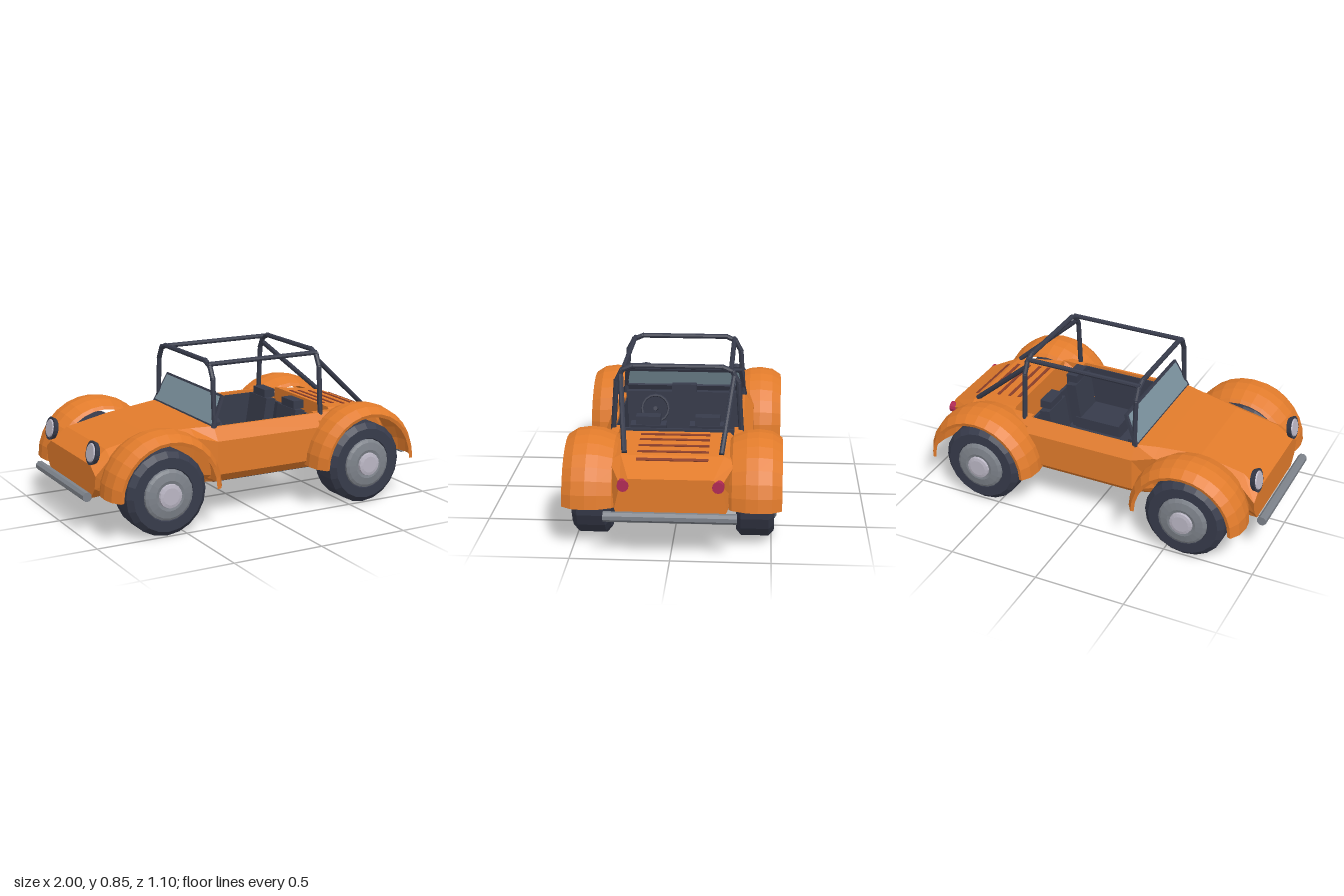
import * as THREE from 'three';

const mat = (name, color) => {
  const m = new THREE.MeshStandardMaterial({ color, flatShading: true, side: THREE.DoubleSide });
  m.name = name;
  return m;
};

export function createModel() {
  const paint = mat('orange paint', 0xe17b2b);
  const dark = mat('dark trim', 0x373b4b);
  const glass = mat('glass', 0x7c939f);
  const steel = mat('grey steel', 0x7d828a);
  const chrome = mat('pale chrome', 0xbab6c4);
  const red = mat('tail red', 0xb02a54);
  const slot = mat('vent brown', 0x8c3f2a);

  const car = new THREE.Group();
  car.name = 'openBuggy';

  const add = (name, geo, material, x = 0, y = 0, z = 0, parent = car) => {
    const mesh = new THREE.Mesh(geo, material);
    mesh.name = name;
    mesh.position.set(x, y, z);
    parent.add(mesh);
    return mesh;
  };
  // Box given by its min and max corners
  const box = (name, material, x0, x1, y0, y1, z0, z1) =>
    add(name, new THREE.BoxGeometry(x1 - x0, y1 - y0, z1 - z0), material,
      (x0 + x1) / 2, (y0 + y1) / 2, (z0 + z1) / 2);
  // Straight round bar between two points
  const bar = (name, a, b, r) => {
    const p = new THREE.Vector3(...a), q = new THREE.Vector3(...b);
    const d = q.clone().sub(p);
    const mesh = add(name, new THREE.CylinderGeometry(r, r, d.length() + r, 8), dark);
    mesh.position.copy(p).add(q).multiplyScalar(0.5);
    mesh.quaternion.setFromUnitVectors(new THREE.Vector3(0, 1, 0), d.normalize());
    return mesh;
  };
  // Closed loft along x through rings of [z, y] points
  const loft = (sections) => {
    const n = sections[0].ring.length, pos = [], idx = [];
    sections.forEach(s => s.ring.forEach(([z, y]) => pos.push(s.x, y, z)));
    for (let i = 0; i < sections.length - 1; i++) {
      for (let j = 0; j < n; j++) {
        const a = i * n + j, b = i * n + (j + 1) % n;
        idx.push(a, a + n, b, b, a + n, b + n);
      }
    }
    const end = (sections.length - 1) * n;
    for (let j = 1; j < n - 1; j++) idx.push(0, j, j + 1, end, end + j + 1, end + j);
    const g = new THREE.BufferGeometry();
    g.setAttribute('position', new THREE.Float32BufferAttribute(pos, 3));
    g.setIndex(idx);
    const flat = g.toNonIndexed();
    flat.computeVertexNormals();
    return flat;
  };
  const mirrored = (x, half) => ({ x, ring: [...half, ...half.map(([z, y]) => [-z, y]).reverse()] });

  // Nose and bonnet
  add('frontBody', loft([
    mirrored(-0.93, [[0.27, 0.19], [0.32, 0.25], [0.335, 0.32], [0.27, 0.365]]),
    mirrored(-0.84, [[0.28, 0.2], [0.30, 0.26], [0.32, 0.40], [0.26, 0.435]]),
    mirrored(-0.60, [[0.28, 0.2], [0.30, 0.26], [0.32, 0.45], [0.26, 0.485]]),
    mirrored(-0.38, [[0.30, 0.2], [0.33, 0.25], [0.37, 0.46], [0.31, 0.499]]),
    mirrored(-0.26, [[0.34, 0.2], [0.395, 0.25], [0.395, 0.43], [0.345, 0.503]]),
  ]), paint);

  // Rear deck and tail
  add('rearBody', loft([
    mirrored(0.49, [[0.30, 0.2], [0.31, 0.26], [0.33, 0.46], [0.28, 0.505]]),
    mirrored(0.77, [[0.28, 0.19], [0.30, 0.26], [0.32, 0.44], [0.26, 0.47]]),
    mirrored(0.93, [[0.25, 0.185], [0.28, 0.24], [0.25, 0.37], [0.21, 0.40]]),
  ]), paint);

  // Vent slots following the deck slope
  [0.53, 0.59, 0.66, 0.73, 0.8].forEach(x => {
    const slope = x < 0.77 ? -0.125 : -0.4375;
    const y = 0.47 + (x - 0.77) * slope;
    add('ventSlot', new THREE.BoxGeometry(0.018, 0.006, 0.36), slot, x, y + 0.001, 0)
      .rotation.z = Math.atan(slope);
  });

  // Cockpit tub
  box('floor', dark, -0.26, 0.37, 0.195, 0.215, -0.335, 0.335);
  box('rearBulkhead', dark, 0.355, 0.372, 0.2, 0.48, -0.33, 0.33);
  box('dashboard', dark, -0.262, -0.21, 0.38, 0.515, -0.33, 0.33);
  box('firewall', dark, -0.262, -0.25, 0.2, 0.4, -0.33, 0.33);
  box('tunnel', dark, -0.08, 0.36, 0.21, 0.26, -0.02, 0.02);
  box('instrumentPod', dark, -0.245, -0.2, 0.5, 0.56, -0.07, 0.07);

  // Steering wheel and column
  const wheelRim = add('steeringWheel', new THREE.TorusGeometry(0.075, 0.008, 6, 16), dark, -0.14, 0.435, 0.16);
  wheelRim.rotation.set(0, Math.PI / 2, 0.3, 'ZYX');
  bar('steeringColumn', [-0.22, 0.41, 0.16], [-0.14, 0.435, 0.16], 0.012);

  for (const s of [1, -1]) {
    const sideRing = [[0.33, 0.2], [0.345, 0.2], [0.395, 0.25], [0.395, 0.43], [0.345, 0.497], [0.33, 0.497]];
    const railRing = [[0.3, 0.4], [0.37, 0.4], [0.37, 0.46], [0.34, 0.497], [0.3, 0.497]];
    const flip = ring => s > 0 ? ring : ring.map(([z, y]) => [-z, y]).reverse();
    // Side sill panel, its liner and the short rail behind the door opening
    add('sidePanel', loft([{ x: -0.262, ring: flip(sideRing) }, { x: 0.372, ring: flip(sideRing) }]), paint);
    add('rearRail', loft([{ x: 0.37, ring: flip(railRing) }, { x: 0.52, ring: flip(railRing) }]), paint);
    box('sideLiner', dark, -0.26, 0.37, 0.21, 0.48, s * 0.328 - 0.004, s * 0.328 + 0.004);

    // Seat
    const z = s * 0.157;
    box('seatCushion', dark, 0.03, 0.3, 0.21, 0.3, z - 0.1, z + 0.1);
    add('seatBack', new THREE.BoxGeometry(0.06, 0.26, 0.19), dark, 0.31, 0.37, z).rotation.z = -0.15;
    box('headrest', dark, 0.305, 0.37, 0.5, 0.545, z - 0.065, z + 0.065);
    box('headrestPost', dark, 0.33, 0.345, 0.46, 0.51, z - 0.02, z + 0.02);

    // Roll cage rails and rear stays
    bar('cageRail', [-0.25, 0.82, s * 0.28], [0.405, 0.82, s * 0.28], 0.013);
    bar('rearStay', [0.41, 0.78, s * 0.295], [0.75, 0.48, s * 0.245], 0.014);

    // Lamps
    const lamp = add('headlampShell', new THREE.CylinderGeometry(0.064, 0.055, 0.026, 16), dark, -0.916, 0.43, s * 0.28);
    lamp.rotation.z = 1.37;
    add('headlampLens', new THREE.CylinderGeometry(0.046, 0.052, 0.008, 16), chrome, 0, 0.015, 0, lamp);
    add('tailLamp', new THREE.CylinderGeometry(0.03, 0.03, 0.05, 12), red, 0.915, 0.365, s * 0.235)
      .rotation.z = Math.PI / 2;

    // Bumpers
    add(s > 0 ? 'rearBumper' : 'frontBumper', new THREE.CylinderGeometry(0.026, 0.026, 0.66, 8).rotateY(Math.PI / 8),
      steel, s * 0.975, 0.218, 0).rotation.x = Math.PI / 2;
  }

  // Roll cage hoops
  const hoopHalf = [[0.338, 0.46], [0.318, 0.75], [0.287, 0.81], [0.235, 0.832]];
  const hoop = [...hoopHalf, ...hoopHalf.map(([z, y]) => [-z, y]).reverse()];
  [-0.25, 0.405].forEach(x => {
    for (let i = 0; i < hoop.length - 1; i++) {
      bar('rollHoop', [x, hoop[i][1], hoop[i][0]], [x, hoop[i + 1][1], hoop[i + 1][0]], 0.014);
    }
  });

  // Raked windscreen: frame with opening, glass plate on its front face
  const trapezoid = (T, w0, y0, w1, y1) => {
    const t = new T();
    t.moveTo(-w0, y0); t.lineTo(w0, y0); t.lineTo(w1, y1); t.lineTo(-w1, y1); t.closePath();
    return t;
  };
  const screen = new THREE.Group();
  screen.name = 'windscreen';
  screen.position.set(-0.275, 0.497, 0);
  screen.rotation.z = -0.44;
  car.add(screen);
  const frame = trapezoid(THREE.Shape, 0.355, 0, 0.325, 0.18);
  frame.holes.push(trapezoid(THREE.Path, 0.325, 0.06, 0.308, 0.163));
  add('screenFrame', new THREE.ExtrudeGeometry(frame, { depth: 0.016, bevelEnabled: false }).rotateY(Math.PI / 2),
    dark, 0, 0, 0, screen);
  add('screenGlass', new THREE.ExtrudeGeometry(trapezoid(THREE.Shape, 0.335, 0.015, 0.309, 0.168),
    { depth: 0.006, bevelEnabled: false }).rotateY(Math.PI / 2), glass, -0.004, 0, 0, screen);

  // Wheels and arched wings, one set per corner, outer side along local +z
  const turned = (pts, seg, start = 0, length = Math.PI * 2) =>
    new THREE.LatheGeometry(pts.map(p => new THREE.Vector2(...p)), seg, start, length).rotateX(Math.PI / 2);
  const tyre = turned([[0, 0.32], [0.195, 0.32], [0.224, 0.345], [0.224, 0.485], [0.195, 0.513], [0.14, 0.513], [0.135, 0.5], [0, 0.5]], 20);
  const rim = turned([[0.136, 0.5], [0.134, 0.517], [0.12, 0.525], [0.08, 0.532], [0.065, 0.528], [0, 0.528]], 20);
  const cap = turned([[0.066, 0.52], [0.062, 0.54], [0.045, 0.544], [0, 0.544]], 16);
  const wing = turned([[0.27, 0.285], [0.288, 0.3], [0.315, 0.37], [0.322, 0.43], [0.312, 0.5], [0.28, 0.55], [0.262, 0.545]],
    14, Math.PI / 2, Math.PI);
  for (const x of [-0.607, 0.6]) {
    for (const turn of [0, Math.PI]) {
      const corner = new THREE.Group();
      corner.name = x < 0 ? 'frontWheelAndWing' : 'rearWheelAndWing';
      corner.position.set(x, 0.224, 0);
      corner.rotation.y = turn;
      car.add(corner);
      add('tyre', tyre, dark, 0, 0, 0, corner);
      add('wheelRim', rim, steel, 0, 0, 0, corner);
      add('hubCap', cap, chrome, 0, 0, 0, corner);
      add('wing', wing, paint, 0, 0.003, 0, corner);
    }
  }

  return car;
}
